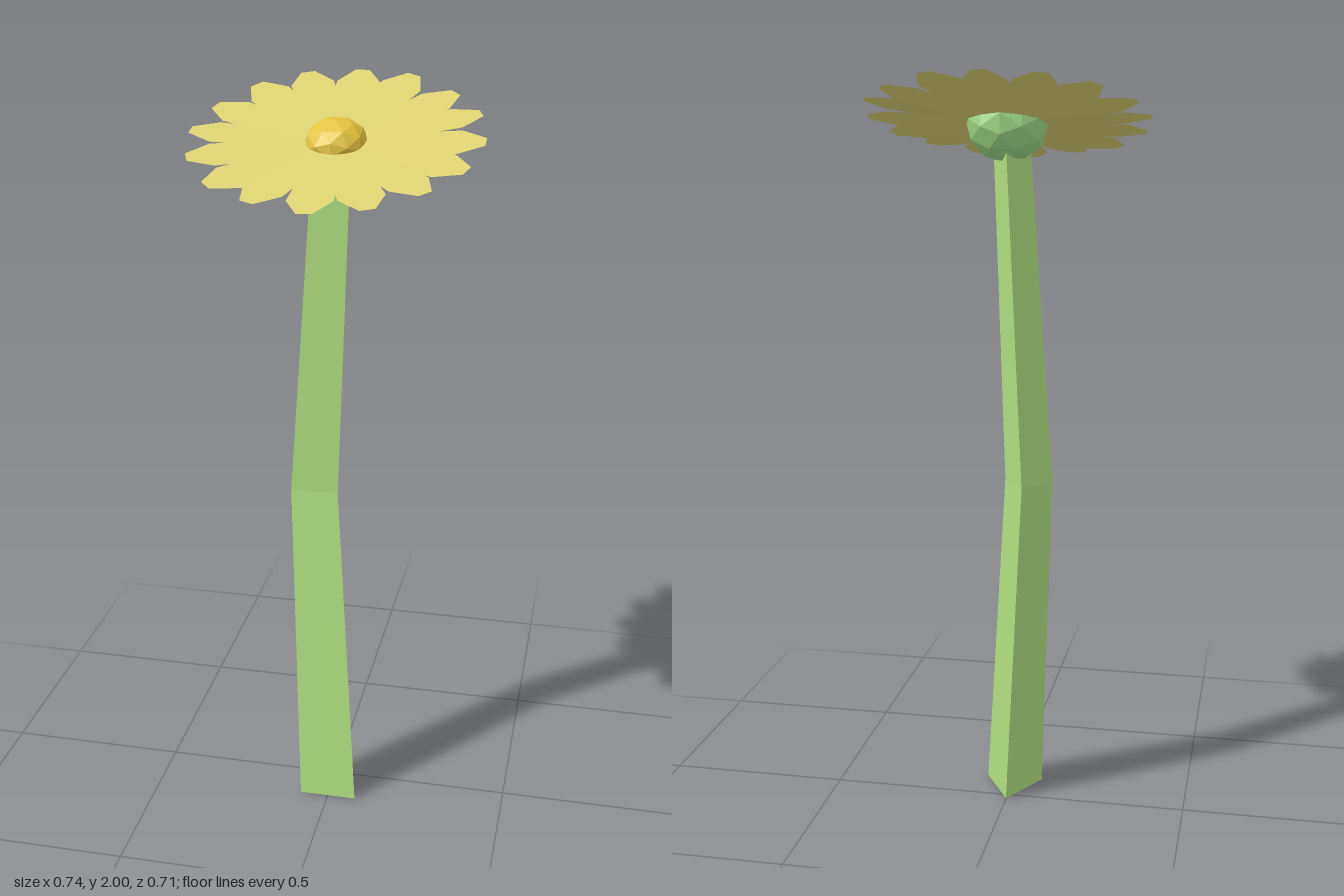
import * as THREE from 'three';

const material = (color, extra = {}) =>
  new THREE.MeshStandardMaterial({ color, flatShading: true, ...extra });

function part(name, geometry, mat) {
  const mesh = new THREE.Mesh(geometry, mat);
  mesh.name = name;
  return mesh;
}

// Three-sided stem: triangular sections with a flat front and a ridge at the back
function stemGeometry() {
  const sections = [ // y, left x, right x, front z, back z
    [0, -0.08, 0.08, 0.115, -0.025],
    [0.93, -0.12, 0.01, 0.02, -0.09],
    [1.85, -0.055, 0.042, 0.02, -0.062],
  ];
  const rings = sections.map(([y, x0, x1, zf, zb]) => [
    [x0, y, zf], [x1, y, zf], [(x0 + x1) / 2, y, zb],
  ]);
  const points = [];
  for (let s = 0; s < rings.length - 1; s++) {
    for (let i = 0; i < 3; i++) {
      const j = (i + 1) % 3;
      const [a, b, c, d] = [rings[s][i], rings[s][j], rings[s + 1][j], rings[s + 1][i]];
      points.push(a, b, c, a, c, d);
    }
  }
  const top = rings[rings.length - 1];
  points.push(rings[0][0], rings[0][2], rings[0][1], ...top);
  const geometry = new THREE.BufferGeometry();
  geometry.setAttribute('position', new THREE.Float32BufferAttribute(points.flat(), 3));
  geometry.computeVertexNormals();
  return geometry;
}

// Faceted ball squashed in height; the half above the rim may be flattened away
function ballGeometry(radius, height, lowerHalf = false) {
  const geometry = new THREE.IcosahedronGeometry(radius, 1);
  geometry.scale(1, height / radius, 1);
  if (lowerHalf) {
    const p = geometry.attributes.position;
    for (let i = 0; i < p.count; i++) p.setY(i, Math.min(p.getY(i), 0));
    geometry.computeVertexNormals();
  }
  return geometry;
}

// Flat petal with a blunt tip, pointing to -z and rising slightly outwards
function petalGeometry(lift, roll) {
  const side = [[0.02, 0.02], [0.045, 0.1], [0.051, 0.2], [0.057, 0.308], [0.019, 0.372]];
  const outline = [...side, ...side.map(([x, y]) => [-x, y]).reverse()];
  const shape = new THREE.Shape(outline.map(([x, y]) => new THREE.Vector2(x, y)));
  const geometry = new THREE.ShapeGeometry(shape);
  geometry.rotateY(roll);
  geometry.rotateX(lift - Math.PI / 2);
  return geometry;
}

export function createModel() {
  const model = new THREE.Group();
  model.name = 'flower';
  model.add(part('stem', stemGeometry(), material(0xb0df80)));

  // Flower head, leaning towards the front
  const head = new THREE.Group();
  head.name = 'flowerHead';
  head.position.set(0, 1.873, -0.003);
  head.rotation.x = 0.293;
  model.add(head);

  head.add(part('receptacle', ballGeometry(0.107, 0.097, true), material(0x9ed884)));
  const center = part('flowerCenter', ballGeometry(0.08, 0.058), material(0xe5c440));
  center.position.z = -0.006;
  head.add(center);

  // Ring of overlapping petals with small differences in height and roll
  const petals = new THREE.Group();
  petals.name = 'petals';
  head.add(petals);
  const petalMaterial = material(0xdcd272, { side: THREE.DoubleSide });
  const count = 16;
  for (let i = 0; i < count; i++) {
    const lift = 0.052 + 0.008 * Math.sin(i * 2.3);
    const roll = 0.05 * Math.sin(i * 1.7);
    const petal = part('petal', petalGeometry(lift, roll), petalMaterial);
    petal.rotation.y = -(i / count) * Math.PI * 2;
    petal.position.y = (i % 2) * 0.002;
    petals.add(petal);
  }
  return model;
}
